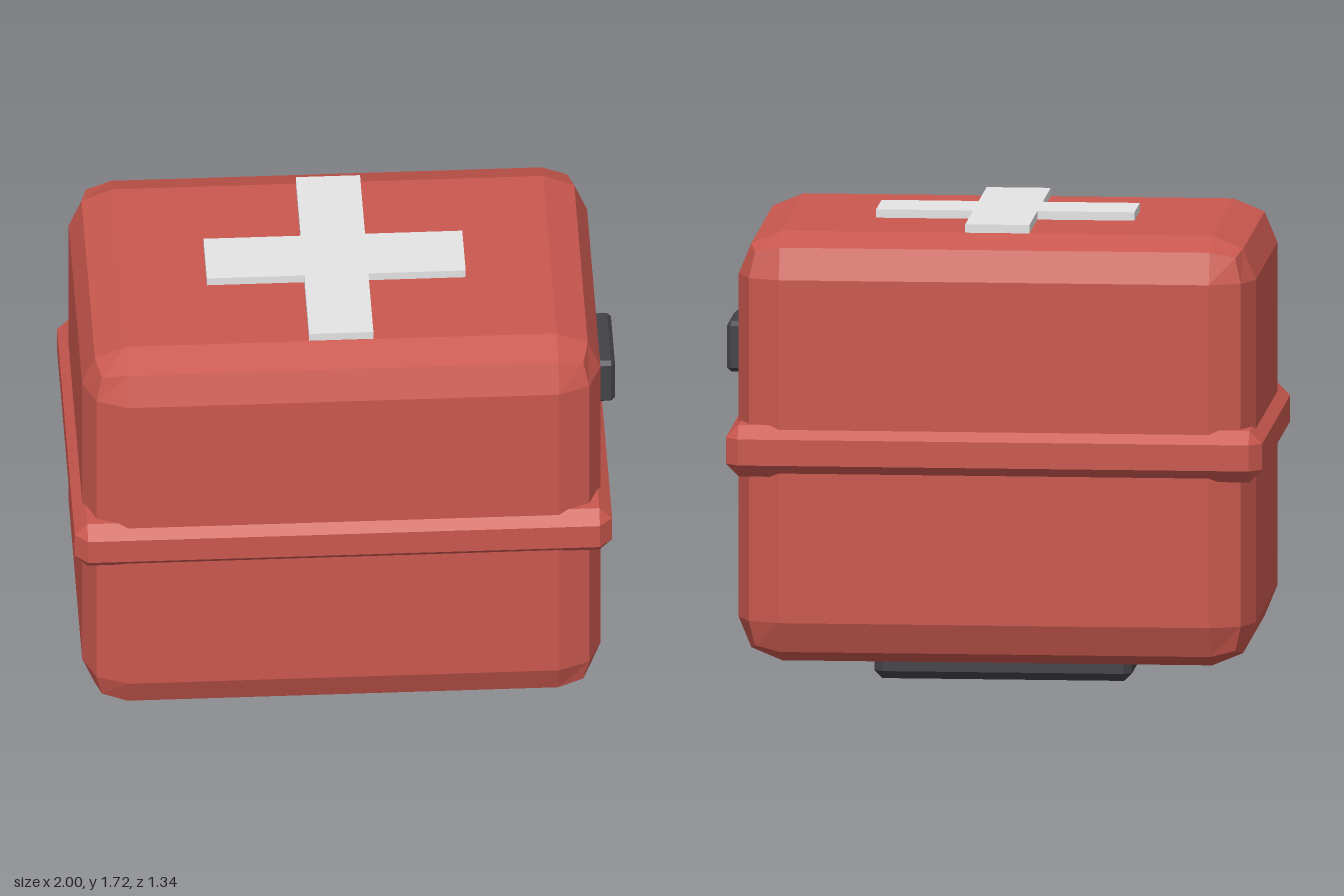
import * as THREE from 'three';
import { RoundedBoxGeometry } from 'three/addons/geometries/RoundedBoxGeometry.js';
import { ConvexGeometry } from 'three/addons/geometries/ConvexGeometry.js';

const material = (name, color) => {
  const m = new THREE.MeshStandardMaterial({ color, flatShading: true });
  m.name = name;
  return m;
};

// Box whose edges are all cut by a single 45 degree chamfer
function chamferBox(w, h, d, c) {
  const points = [];
  for (const sx of [-1, 1]) for (const sy of [-1, 1]) for (const sz of [-1, 1]) {
    for (let axis = 0; axis < 3; axis++) {
      const cut = [c, c, c];
      cut[axis] = 0;
      points.push(new THREE.Vector3(
        sx * (w / 2 - cut[0]), sy * (h / 2 - cut[1]), sz * (d / 2 - cut[2])));
    }
  }
  return new ConvexGeometry(points);
}

// Plus-shaped plate lying flat, rising from y = 0
function crossPlate(half, armX, armZ, thickness) {
  const outline = [
    [armX, half], [-armX, half], [-armX, armZ], [-half, armZ], [-half, -armZ], [-armX, -armZ],
    [-armX, -half], [armX, -half], [armX, -armZ], [half, -armZ], [half, armZ], [armX, armZ],
  ].map(([x, y]) => new THREE.Vector2(x, y));
  return new THREE.ExtrudeGeometry(new THREE.Shape(outline), { depth: thickness, bevelEnabled: false })
    .rotateX(-Math.PI / 2);
}

export function createModel() {
  const red = material('case red', 0xc9584e);
  const white = material('cross white', 0xe4e4e4);
  const dark = material('dark rubber', 0x424248);
  const group = new THREE.Group();
  group.name = 'medicalCase';
  const cx = -0.0175; // the case sits off centre because of the side latch

  const add = (name, geometry, mat, x, y, z) => {
    const mesh = new THREE.Mesh(geometry, mat);
    mesh.name = name;
    mesh.position.set(x, y, z);
    group.add(mesh);
  };

  // Case body with two-step bevelled edges
  add('body', new RoundedBoxGeometry(1.895, 1.585, 1.27, 1, 0.16), red, cx, 0.8925, 0);
  // Rim around the lid seam
  add('rim', chamferBox(1.965, 0.19, 1.335, 0.047), red, cx, 0.8925, 0);
  // Foot pad under the case
  add('foot', chamferBox(0.945, 0.105, 0.48, 0.03), dark, cx, 0.0525, 0);
  // Latch on the left side
  add('latch', chamferBox(0.07, 0.185, 0.315, 0.015), dark, 0.965, 1.2075, 0);
  // Raised cross on the lid
  add('cross', crossPlate(0.473, 0.1175, 0.12, 0.035), white, cx, 1.681, 0);

  return group;
}
